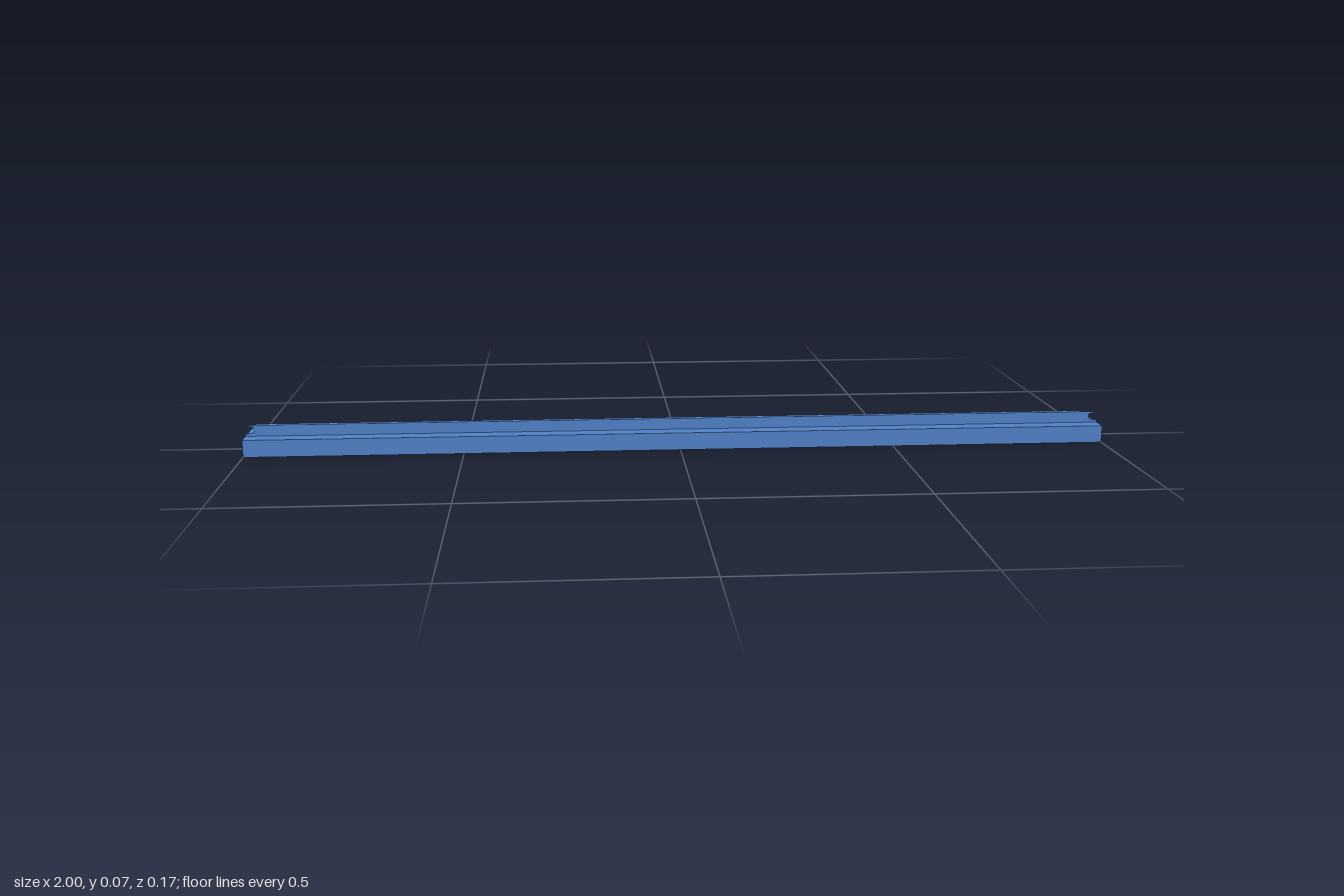
import * as THREE from 'three';

const LENGTH = 2;
const T = 0.0016; // wall thickness

export function createModel() {
  const group = new THREE.Group();
  const blue = new THREE.MeshStandardMaterial({ color: 0x4f81c7 });
  blue.name = 'blue aluminium';

  const add = (name, geometry) => {
    const mesh = new THREE.Mesh(geometry, blue);
    mesh.name = name;
    group.add(mesh);
    return mesh;
  };

  // full-length wall between two heights and two depths
  const wall = (name, z0, z1, y0, y1) =>
    add(name, new THREE.BoxGeometry(LENGTH, y1 - y0, z1 - z0))
      .position.set(0, (y0 + y1) / 2, (z0 + z1) / 2);

  // rectangle with cut corners in the z-y section
  const cutRect = (target, z0, z1, y0, y1, c) => {
    const pts = [
      [z0 + c, y0], [z1 - c, y0], [z1, y0 + c], [z1, y1 - c],
      [z1 - c, y1], [z0 + c, y1], [z0, y1 - c], [z0, y0 + c],
    ];
    return target.setFromPoints(pts.map(([z, y]) => new THREE.Vector2(-z, y)));
  };

  // outer flanges and the top decks
  wall('frontFlange', 0.083 - T, 0.083, 0, 0.04);
  wall('backFlange', -0.083, -0.083 + T, 0, 0.04);
  wall('frontDeck', 0.031, 0.083 - T, 0.04 - T, 0.04);
  wall('backDeck', -0.083 + T, -0.03, 0.04 - T, 0.04);

  // inner legs beneath the hollow core
  wall('frontLeg', 0.0325 - T, 0.0325, 0.004, 0.036);
  wall('backLeg', -0.031, -0.031 + T, 0.004, 0.036);

  // hollow core running the whole length
  const core = cutRect(new THREE.Shape(), -0.031, 0.0325, 0.0205, 0.0405, 0.003);
  core.holes.push(cutRect(new THREE.Path(), -0.0245, 0.026, 0.0225, 0.0385, 0.004));
  const coreGeometry = new THREE.ExtrudeGeometry(core, { depth: LENGTH, bevelEnabled: false });
  coreGeometry.translate(0, 0, -LENGTH / 2).rotateY(Math.PI / 2);
  add('hollowCore', coreGeometry);

  // small clip ribs under the decks
  for (const z of [0.061, 0.054, -0.054, -0.06, -0.067]) {
    wall('clipRib', z - T / 2, z + T / 2, 0.034, 0.0385);
  }

  // raised fin with notched ends
  const half = [[1, 0.0395], [1, 0.045], [0.98, 0.049], [0.98, 0.061], [0.993, 0.063], [0.993, 0.066]];
  const outline = [...half, ...half.map(([x, y]) => [-x, y]).reverse()];
  const fin = new THREE.Shape(outline.map(([x, y]) => new THREE.Vector2(x, y)));
  const finGeometry = new THREE.ExtrudeGeometry(fin, { depth: T, bevelEnabled: false });
  finGeometry.translate(0, 0, 0.043 - T / 2);
  add('raisedFin', finGeometry);

  return group;
}
